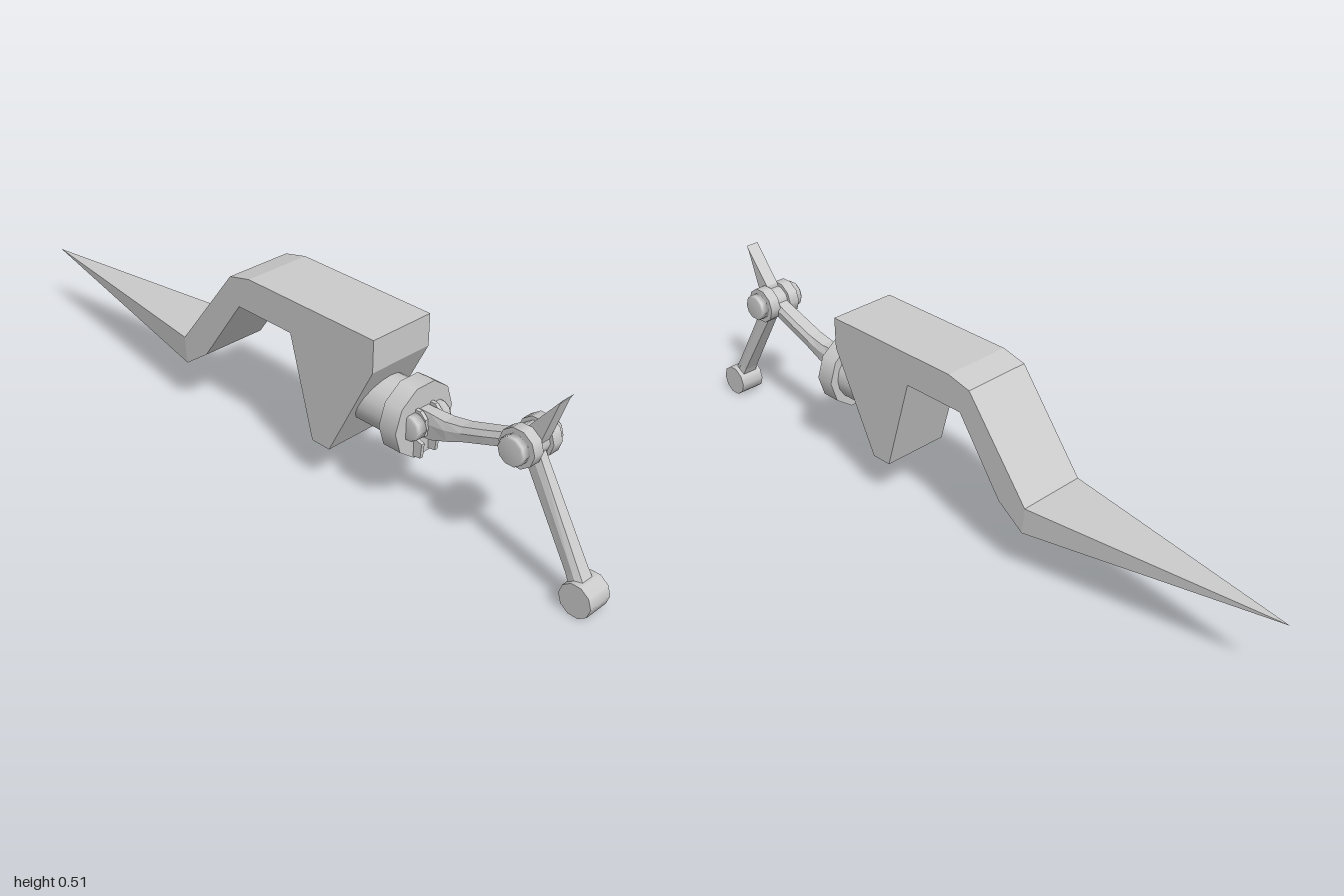
import * as THREE from 'three';

const grey = new THREE.MeshStandardMaterial({ color: 0xcccccc });
const flat = new THREE.MeshStandardMaterial({ color: 0xcccccc, flatShading: true });
const CX = -0.004; // sideways centre of the jointed limb

function add(parent, name, geometry, material = flat) {
  const mesh = new THREE.Mesh(geometry, material);
  mesh.name = name;
  parent.add(mesh);
  return mesh;
}

// Side profile of [z, y] points, extruded across x
function slab(points, width, x) {
  const shape = new THREE.Shape(points.map(([z, y]) => new THREE.Vector2(z, y)));
  const g = new THREE.ExtrudeGeometry(shape, { depth: width, bevelEnabled: false });
  return g.translate(0, 0, -width / 2).rotateY(-Math.PI / 2).translate(x, 0, 0);
}

// Cylinder lying along x
function barrel(radius, width, x, y, z, sides = 10) {
  return new THREE.CylinderGeometry(radius, radius, width, sides)
    .rotateZ(Math.PI / 2).translate(x, y, z);
}

// Cylinder lying along z, with a corner of the polygon at each side
function drum(radius, z0, z1, x, y, sides) {
  return new THREE.CylinderGeometry(radius, radius, z1 - z0, sides, 1, false, Math.PI / 2)
    .rotateX(Math.PI / 2).translate(x, y, (z0 + z1) / 2);
}

// Bar with chamfered upper edges; stations are [z, y, half width, half thickness]
function bar(stations) {
  const pos = [], index = [], n = 6;
  stations.forEach(([z, y, w, t], i) => {
    const a = stations[Math.max(i - 1, 0)], b = stations[Math.min(i + 1, stations.length - 1)];
    const len = Math.hypot(b[0] - a[0], b[1] - a[1]);
    const tz = (b[0] - a[0]) / len, ty = (b[1] - a[1]) / len;
    const ring = [[0.9, -1], [1, 0.2], [0.7, 1], [-0.7, 1], [-1, 0.2], [-0.9, -1]];
    for (const [u, v] of ring) pos.push(CX + u * w, y + v * t * tz, z - v * t * ty);
  });
  for (let i = 0; i < stations.length - 1; i++) {
    for (let j = 0; j < n; j++) {
      const a = i * n + j, b = i * n + (j + 1) % n;
      index.push(a, b, b + n, a, b + n, a + n);
    }
  }
  const end = (stations.length - 1) * n;
  for (let j = 1; j < n - 1; j++) index.push(0, j + 1, j, end, end + j, end + j + 1);
  const g = new THREE.BufferGeometry();
  g.setAttribute('position', new THREE.Float32BufferAttribute(pos, 3));
  g.setIndex(index);
  g.computeVertexNormals();
  return g;
}

// Bolt head with a small chamfer, pointing outwards along x
function boltHead(radius, width, side, x, y, z) {
  const profile = [[0, 0], [radius, 0], [radius, width * 0.8], [radius * 0.88, width], [0, width]]
    .map(([r, h]) => new THREE.Vector2(r, h));
  return new THREE.LatheGeometry(profile, 10)
    .rotateZ(-side * Math.PI / 2).translate(x, y, z);
}

export function createModel() {
  const model = new THREE.Group();

  // Bent body with a downward lug
  add(model, 'body', slab([
    [0.38, 0.487], [0.38, 0.4], [0.243, 0.125], [0.184, 0.125], [0.104, 0.397],
    [-0.083, 0.397], [-0.217, 0.203], [-0.297, 0.145], [-0.305, 0.22],
    [-0.115, 0.47], [-0.045, 0.487],
  ], 0.193, 0.003));

  // Tail spike: four-sided pyramid drawn out to a point
  const spike = new THREE.BufferGeometry();
  spike.setAttribute('position', new THREE.Float32BufferAttribute([
    -0.0935, 0.22, -0.305, 0.0995, 0.22, -0.305,
    0.0995, 0.145, -0.297, -0.0935, 0.145, -0.297, 0.003, 0.207, -1,
  ], 3));
  spike.setIndex([0, 1, 4, 1, 2, 4, 2, 3, 4, 3, 0, 4]);
  spike.computeVertexNormals();
  add(model, 'tailSpike', spike);

  // Round mount on the front of the body
  add(model, 'mountShaft', drum(0.073, 0.25, 0.42, 0, 0.275, 16), grey);
  add(model, 'mountFlange', drum(0.099, 0.412, 0.465, -0.002, 0.275, 10), grey);

  // Clevis, pins and joint discs, mirrored left and right
  const jy = 0.364, jz = 0.773;
  for (const s of [-1, 1]) {
    const side = s > 0 ? 'left' : 'right';
    add(model, side + 'ClevisPlate', slab([
      [0.455, 0.185], [0.487, 0.19], [0.49, 0.23], [0.47, 0.235],
      [0.497, 0.255], [0.497, 0.3], [0.48, 0.316], [0.455, 0.316],
    ], 0.01, CX + s * 0.026));
    add(model, side + 'ClevisBolt', boltHead(0.034, 0.031, s, CX + s * 0.03, 0.276, 0.468), grey);
    add(model, side + 'JointDisc', barrel(0.05, 0.031, CX + s * 0.0335, jy, jz), grey);
    add(model, side + 'JointBolt', boltHead(0.037, 0.025, s, CX + s * 0.048, jy, jz), grey);
  }
  add(model, 'clevisPin', barrel(0.025, 0.07, CX, 0.276, 0.475), grey);
  add(model, 'jointBarrel', barrel(0.04, 0.04, CX, jy, jz), grey);

  // Curved upper arm
  add(model, 'upperArm', bar([
    [0.455, 0.276, 0.021, 0.036], [0.5, 0.279, 0.022, 0.034], [0.55, 0.29, 0.026, 0.024],
    [0.6, 0.306, 0.026, 0.018], [0.66, 0.327, 0.026, 0.017],
    [0.72, 0.348, 0.024, 0.017], [0.765, 0.362, 0.02, 0.02],
  ]));

  // Short fin above the joint
  add(model, 'jointFin', slab([
    [0.858, 0.511], [0.85, 0.496], [0.818, 0.4], [0.8, 0.35], [0.765, 0.36], [0.778, 0.412],
  ].reverse(), 0.037, CX));

  // Lower leg with its round foot
  add(model, 'lowerLeg', bar([
    [0.775, 0.36, 0.016, 0.025], [0.8, 0.32, 0.017, 0.021],
    [0.93, 0.1, 0.023, 0.018], [0.952, 0.06, 0.026, 0.02],
  ]));
  add(model, 'foot', barrel(0.044, 0.072, CX, 0.044, 0.956), grey);

  return model;
}
